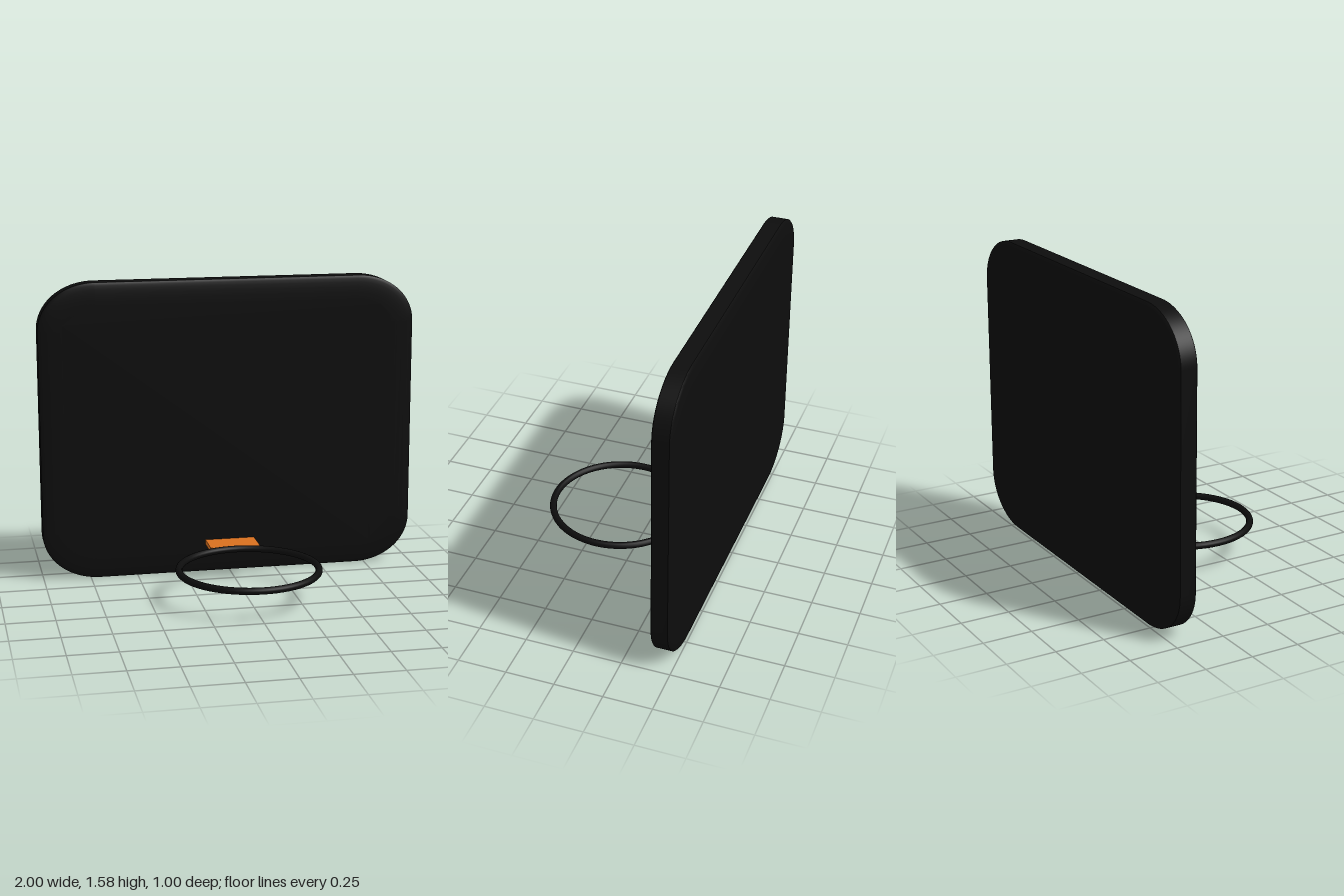
import * as THREE from 'three';
import { toCreasedNormals } from 'three/addons/utils/BufferGeometryUtils.js';

const black = new THREE.MeshStandardMaterial({ color: 0x0d0d0d });
const orange = new THREE.MeshStandardMaterial({ color: 0xd9701f });

// Rectangle with elliptical corners, centred on the origin
function roundedRect(w, h, rx, ry) {
  const s = new THREE.Shape();
  const x = w / 2 - rx, y = h / 2 - ry;
  s.moveTo(x, -h / 2);
  [[x, -y], [x, y], [-x, y], [-x, -y]].forEach(([cx, cy], i) => {
    const start = (i - 1) * Math.PI / 2;
    s.absellipse(cx, cy, rx, ry, start, start + Math.PI / 2, false, 0);
  });
  return s;
}

function add(group, name, geometry, material, x, y, z) {
  const mesh = new THREE.Mesh(geometry, material);
  mesh.name = name;
  mesh.position.set(x, y, z);
  group.add(mesh);
  return mesh;
}

export function createModel() {
  const model = new THREE.Group();
  model.name = 'basketballHoop';

  // Backboard: thin slab whose faces curve back gently towards the rim
  const bevel = 0.12, swell = 0.015, core = 0.082;
  const board = new THREE.ExtrudeGeometry(
    roundedRect(2 - 2 * bevel, 1.58 - 2 * bevel, 0.18, 0.13),
    { depth: core, bevelSize: bevel, bevelThickness: swell, bevelSegments: 6, curveSegments: 12 }
  );
  add(model, 'backboard', toCreasedNormals(board, 0.6), black, 0, 0.79, -0.5 + swell);

  // Bracket joining the board to the ring
  add(model, 'bracket', new THREE.BoxGeometry(0.265, 0.026, 0.17), orange, 0, 0.164, -0.315);

  // Ring lying flat in front of the board
  const ring = add(model, 'ring', new THREE.TorusGeometry(0.358, 0.018, 12, 64), black, 0, 0.163, 0.124);
  ring.rotation.x = Math.PI / 2;

  return model;
}
